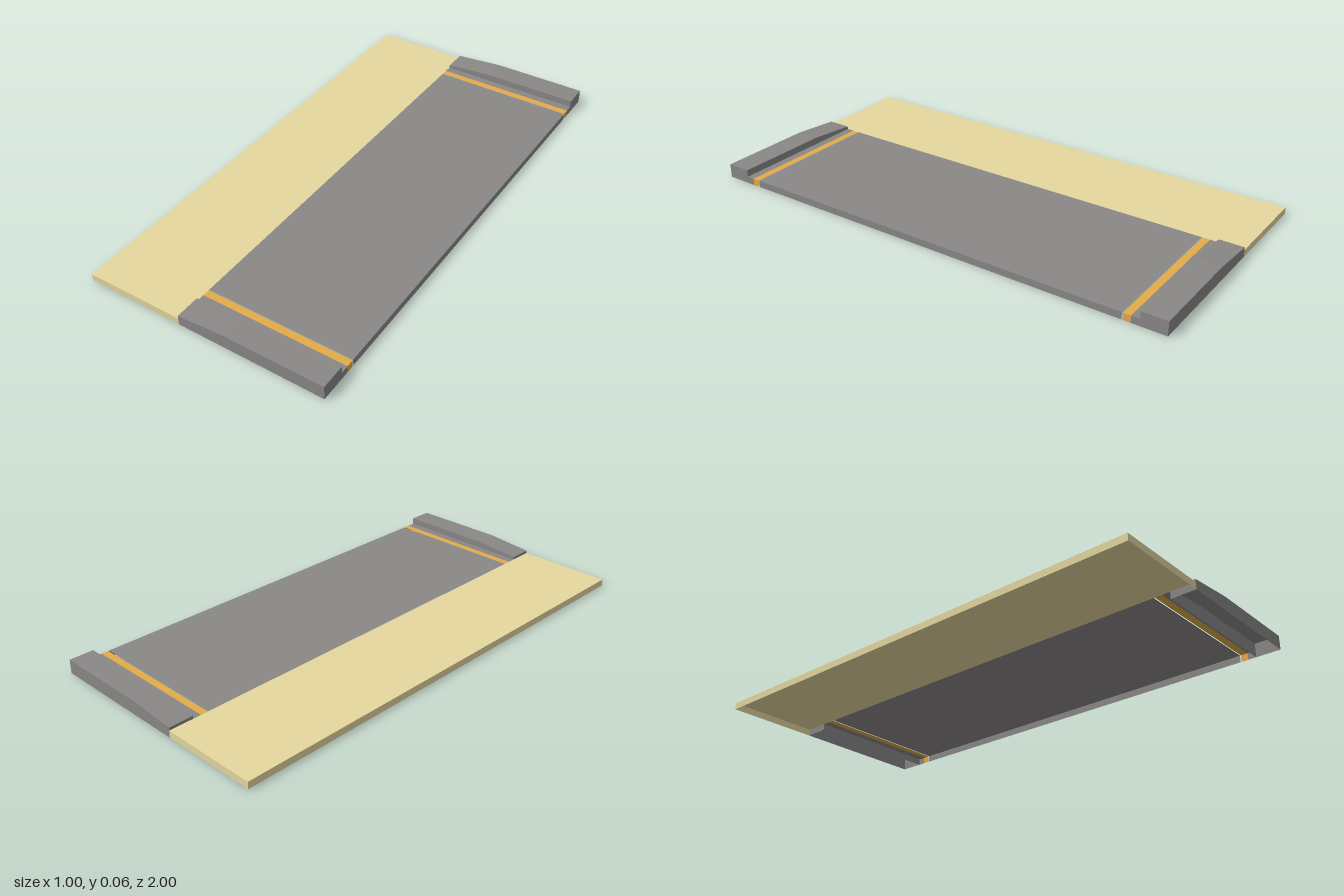
import * as THREE from 'three';

const mat = (name, color) => {
  const m = new THREE.MeshStandardMaterial({ color, side: THREE.DoubleSide });
  m.name = name;
  return m;
};

const SLAB = 0.028; // slab height

// Flat-shaded geometry from corner quads
function quadGeometry(quads) {
  const pos = quads.flatMap(([a, b, c, d]) => [a, b, c, a, c, d].flat());
  const g = new THREE.BufferGeometry();
  g.setAttribute('position', new THREE.Float32BufferAttribute(pos, 3));
  g.computeVertexNormals();
  return g;
}

// Curb shell: three cross-sections along x, closed at both ends, open underneath
function curbGeometry() {
  const stations = [[-0.1, 0.04], [0.1, 0.057], [0.5, 0.057]];
  const rings = stations.map(([x, h]) =>
    [[-0.05, 0], [-0.05, h], [0.05, h], [0.05, 0]].map(([z, y]) => [x, y, z]));
  const quads = [rings[2], [...rings[0]].reverse()];
  for (let i = 0; i < rings.length - 1; i++) {
    for (let j = 0; j < 3; j++) {
      quads.push([rings[i][j], rings[i][j + 1], rings[i + 1][j + 1], rings[i + 1][j]]);
    }
  }
  return quadGeometry(quads);
}

// Slab top with optional skirts on its outer sides, open underneath
function slabGeometry(x0, x1, z0, z1, skirts) {
  const c = [[x0, z0], [x0, z1], [x1, z1], [x1, z0]];
  const at = ([x, z], y) => [x, y, z];
  const quads = [c.map((p) => at(p, SLAB))];
  for (const i of skirts) {
    const a = c[i], b = c[(i + 1) % 4];
    quads.push([at(a, 0), at(b, 0), at(b, SLAB), at(a, SLAB)]);
  }
  return quadGeometry(quads);
}

export function createModel() {
  const group = new THREE.Group();
  const sand = mat('sand', 0xe5d79f);
  const grey = mat('asphalt grey', 0x8a8787);
  const orange = mat('orange', 0xe3ab48);

  const add = (name, geometry, material, z = 0) => {
    const mesh = new THREE.Mesh(geometry, material);
    mesh.name = name;
    mesh.position.z = z;
    group.add(mesh);
  };
  // Road piece with a skirt along its +x side only
  const road = (name, material, z0, z1) =>
    add(name, slabGeometry(-0.1, 0.5, Math.min(z0, z1), Math.max(z0, z1), [2]), material);

  // Skirts on the far side and both ends
  add('sandStrip', slabGeometry(-0.5, -0.1, -1, 1, [0, 1, 3]), sand);
  road('roadSurface', grey, -0.834, 0.834);

  // Edge lines (with a narrow joint), shoulders and curbs at both ends
  const curb = curbGeometry();
  for (const s of [-1, 1]) {
    road('orangeLine', orange, s * 0.838, s * 0.867);
    road('shoulder', grey, s * 0.867, s * 0.9);
    add('curb', curb, grey, s * 0.95);
  }
  return group;
}
